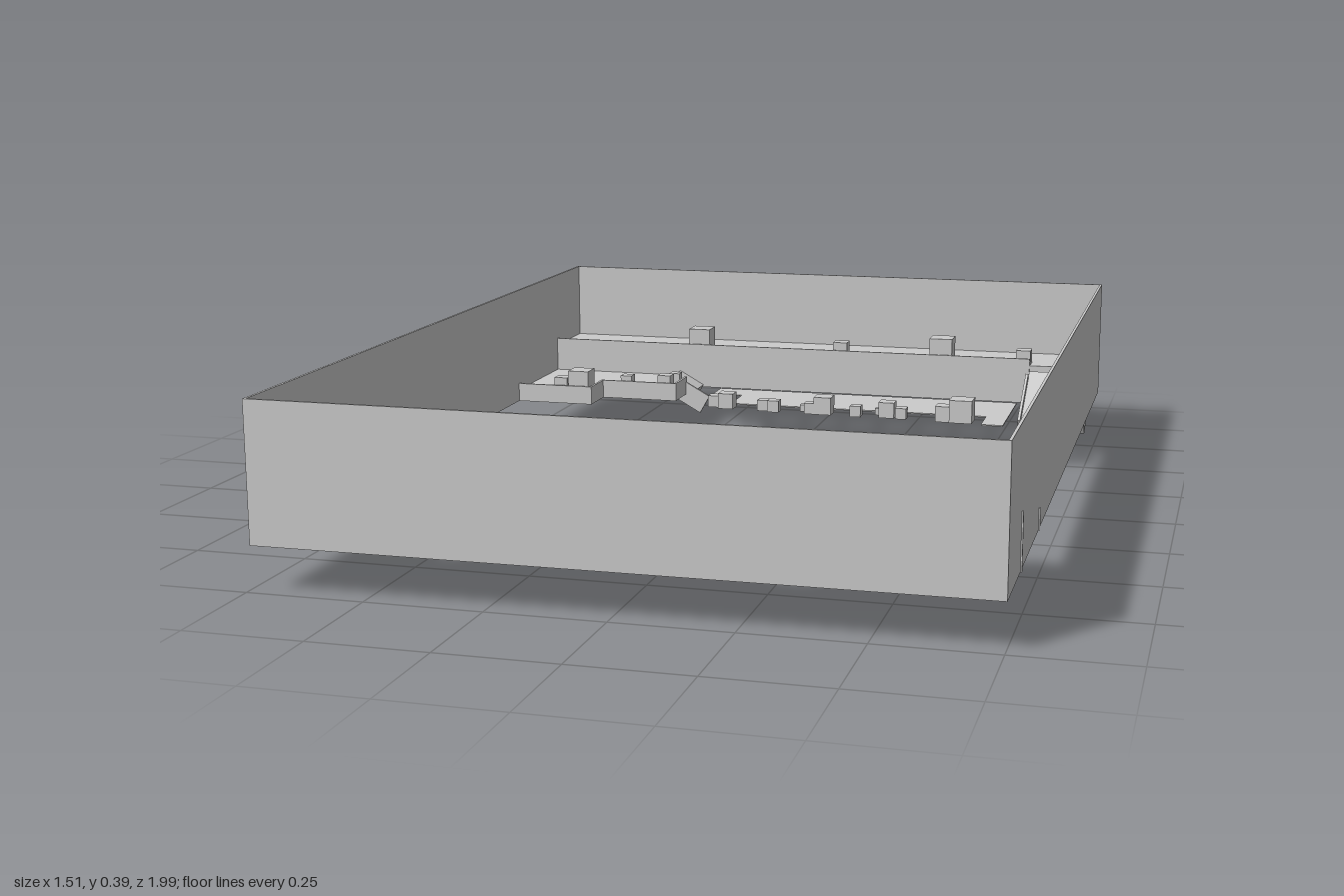
import * as THREE from 'three';

const mat = new THREE.MeshStandardMaterial({ color: 0xcccccc, flatShading: true, side: THREE.DoubleSide });
const GROUND = 0.1, PLATFORM = 0.13, DECK = 0.2, T = 0.006;
const HX = 0.745, HZ = 0.993, DECK_Z = 0.797, SLOPE = 0.51;

// Box given by its limits on each axis
function box(parent, name, x0, x1, y0, y1, z0, z1) {
  const m = new THREE.Mesh(new THREE.BoxGeometry(x1 - x0, y1 - y0, z1 - z0), mat);
  m.position.set((x0 + x1) / 2, (y0 + y1) / 2, (z0 + z1) / 2);
  m.name = name;
  parent.add(m);
  return m;
}

// Flat slab from an [x, z] outline
function slab(parent, name, outline, y0, y1) {
  const shape = new THREE.Shape(outline.map(([x, z]) => new THREE.Vector2(x, -z)));
  const geo = new THREE.ExtrudeGeometry(shape, { depth: y1 - y0, bevelEnabled: false });
  geo.rotateX(-Math.PI / 2);
  const m = new THREE.Mesh(geo, mat);
  m.position.y = y0;
  m.name = name;
  parent.add(m);
}

// Thin upright rails along an axis-aligned [x, z] path
function rails(parent, name, path, y0, y1) {
  for (let i = 1; i < path.length; i++) {
    const [[ax, az], [bx, bz]] = [path[i - 1], path[i]];
    box(parent, name, Math.min(ax, bx) - T / 2, Math.max(ax, bx) + T / 2, y0, y1,
      Math.min(az, bz) - T / 2, Math.max(az, bz) + T / 2);
  }
}

// Cubes standing on a level: [x, z, size]
function crates(parent, name, y, list) {
  for (const [x, z, s] of list) box(parent, name, x - s / 2, x + s / 2, y, y + s, z - s / 2, z + s / 2);
}

// Tilted frame with its origin at the lowest edge of a ramp part
function tilted(parent, name, x, y, z, axis, angle) {
  const g = new THREE.Group();
  g.name = name;
  g.position.set(x, y, z);
  g.rotation[axis] = angle;
  parent.add(g);
  return g;
}

// One end of the arena (built at -z)
function makeEnd() {
  const g = new THREE.Group();

  // Raised deck with its parapet, open at the ramp
  box(g, 'upperDeck', -HX, HX, GROUND, DECK, -HZ, -DECK_Z);
  rails(g, 'deckParapet', [[-HX, -DECK_Z], [0.575, -DECK_Z]], GROUND, 0.218);
  crates(g, 'deckCrate', DECK, [[-0.33, -0.835, 0.058], [0.065, -0.825, 0.038], [0.34, -0.833, 0.06], [0.56, -0.823, 0.038]]);

  // Stepped corner platform with a notch for the side ramp
  const edge = [[-0.337, -0.69], [-0.337, -0.59], [-0.54, -0.59], [-0.54, -0.49], [-HX, -0.49]];
  slab(g, 'cornerPlatform', [[-HX, -DECK_Z], [-0.385, -DECK_Z], [-0.385, -0.69], ...edge], GROUND, PLATFORM);
  rails(g, 'platformRail', edge, GROUND, 0.147);
  crates(g, 'platformCrate', PLATFORM, [[-0.577, -0.525, 0.055], [-0.627, -0.52, 0.035], [-0.475, -0.61, 0.03],
    [-0.37, -0.615, 0.035], [-0.362, -0.683, 0.028]]);

  // Main ramp from the ground to the deck, with its side wall
  const main = tilted(g, 'mainRamp', 0, 0.06, -0.635, 'x', SLOPE);
  box(main, 'mainRampSlab', 0.58, 0.74, 0, 0.042, -0.188, 0);
  const mainSide = tilted(g, 'mainRampSide', 0, 0.004, -0.635, 'x', SLOPE);
  box(mainSide, 'mainRampWall', 0.574, 0.581, 0, 0.105, -0.188, 0);

  // Small ramp from the ground to the corner platform, with its side wall
  const small = tilted(g, 'sideRamp', -0.33, 0.08, 0, 'z', -SLOPE);
  box(small, 'sideRampSlab', -0.075, 0, 0, 0.03, -DECK_Z, -0.69);
  const smallSide = tilted(g, 'sideRampSide', -0.295, 0.05, 0, 'z', -SLOPE);
  box(smallSide, 'sideRampWall', -0.085, 0, 0, 0.053, -0.693, -0.686);

  // Row of cover crates on the ground
  crates(g, 'coverCrate', GROUND, [[-0.216, -0.55, 0.03], [-0.18, -0.54, 0.04], [-0.08, -0.533, 0.028],
    [-0.05, -0.524, 0.03], [0.025, -0.545, 0.018], [0.047, -0.524, 0.028], [0.081, -0.531, 0.045],
    [0.168, -0.518, 0.028], [0.222, -0.549, 0.018], [0.248, -0.529, 0.04], [0.286, -0.518, 0.028],
    [0.396, -0.516, 0.04], [0.441, -0.521, 0.058]]);
  return g;
}

export function createModel() {
  const model = new THREE.Group();
  model.name = 'arena';
  const body = new THREE.Group();
  body.name = 'arenaBody';
  body.rotation.y = 0.006;
  model.add(body);

  // Outer walls
  for (const s of [-1, 1]) {
    const x = s * (HX - T / 2), z = s * (HZ - T / 2);
    box(body, 'sideWall', x - T / 2, x + T / 2, GROUND, 0.395, -HZ, HZ);
    box(body, 'endWall', -HX, HX, GROUND, 0.395, z - T / 2, z + T / 2);
  }

  // Two ends, the second turned half around
  const back = makeEnd(), front = makeEnd();
  back.name = 'backEnd';
  front.name = 'frontEnd';
  front.rotation.y = Math.PI;
  body.add(back, front);

  // Thin ground panels
  const top = GROUND + 0.003;
  slab(body, 'backGroundPanel', [[-0.26, -0.773], [0.55, -0.773], [0.55, -0.48], [0.495, -0.48],
    [0.495, -0.58], [-0.18, -0.58], [-0.18, -0.692], [-0.26, -0.692]], GROUND, top);
  slab(body, 'rampFootPanel', [[0.6, -0.578], [0.72, -0.578], [0.72, -0.482], [0.6, -0.482]], GROUND, top);
  slab(body, 'frontGroundPanel', [[-0.495, 0.59], [0.18, 0.59], [0.18, 0.768], [-0.495, 0.768]], GROUND, top);
  return model;
}
